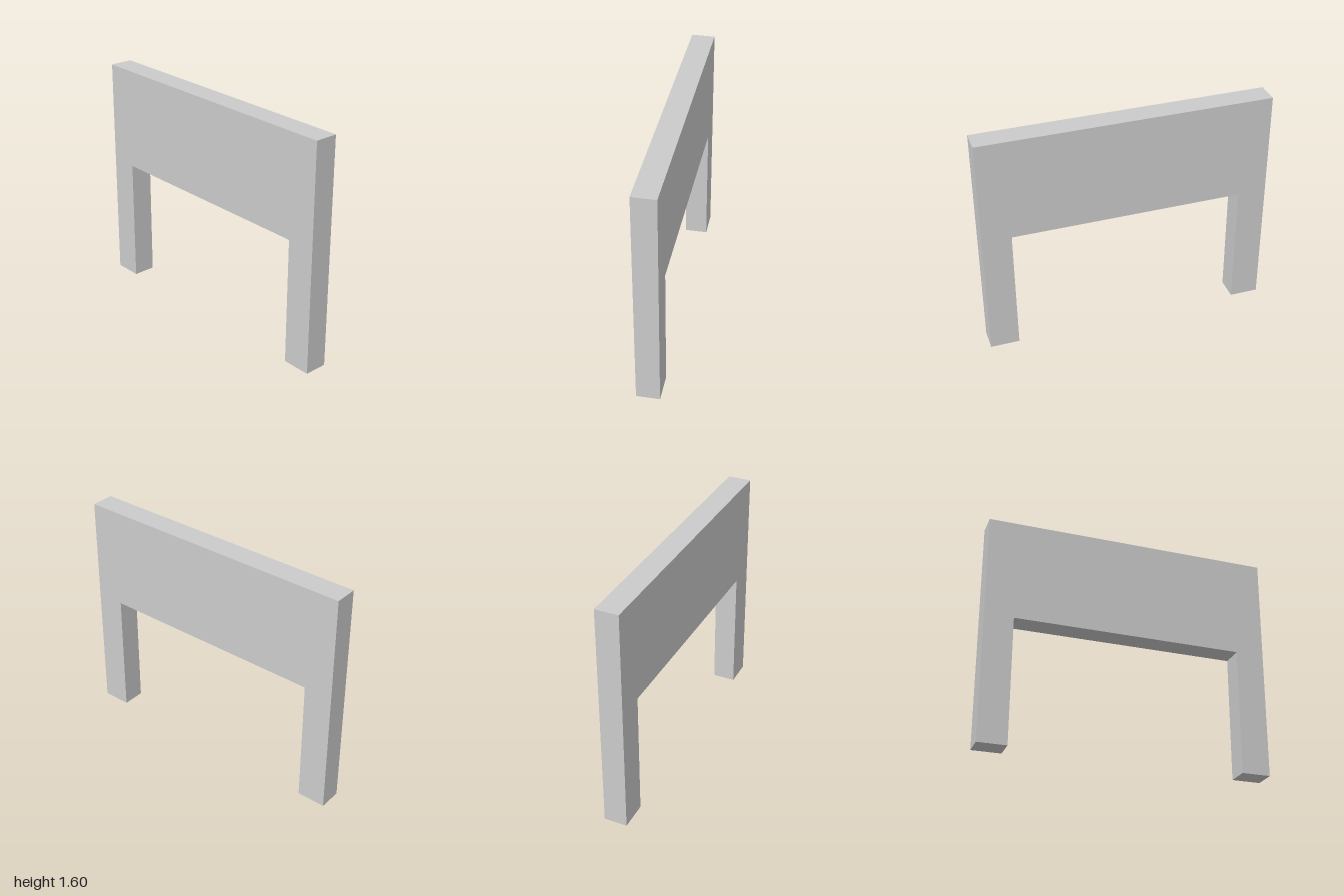
import * as THREE from 'three';

const WIDTH = 2, HEIGHT = 1.6, DEPTH = 0.16;
const LEG = 0.2;          // leg width
const OPENING = 0.885;    // height of the opening

export function createModel() {
  const group = new THREE.Group();
  group.name = 'headboard';
  const material = new THREE.MeshStandardMaterial({ color: 0xcccccc, flatShading: true });

  // Panel and two legs as one continuous slab outline
  const outer = WIDTH / 2, inner = outer - LEG;
  const outline = new THREE.Shape([
    [-outer, 0], [-inner, 0], [-inner, OPENING], [inner, OPENING],
    [inner, 0], [outer, 0], [outer, HEIGHT], [-outer, HEIGHT],
  ].map(([x, y]) => new THREE.Vector2(x, y)));

  const geometry = new THREE.ExtrudeGeometry(outline, { depth: DEPTH, bevelEnabled: false });
  geometry.translate(0, 0, -DEPTH / 2);

  const slab = new THREE.Mesh(geometry, material);
  slab.name = 'panelWithLegs';
  group.add(slab);
  return group;
}
